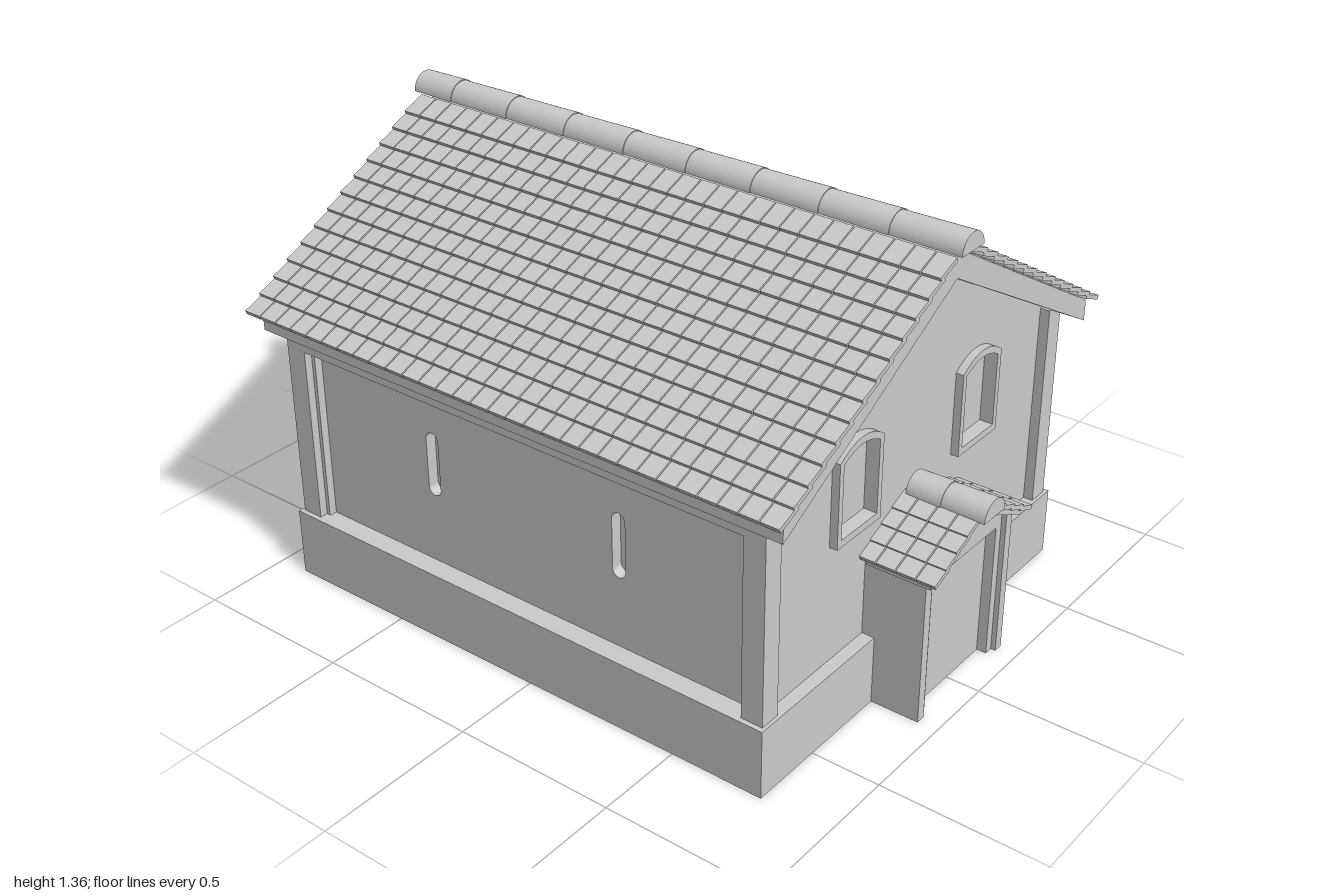
import * as THREE from 'three';
import { mergeGeometries } from 'three/addons/utils/BufferGeometryUtils.js';

const material = new THREE.MeshStandardMaterial({ color: 0xcccccc, side: THREE.DoubleSide });

function add(parent, name, geometry, x = 0, y = 0, z = 0) {
  const mesh = new THREE.Mesh(geometry, material);
  mesh.name = name;
  mesh.position.set(x, y, z);
  parent.add(mesh);
  return mesh;
}

// box given by its limits
function box(parent, name, x0, x1, y0, y1, z0, z1) {
  const g = new THREE.BoxGeometry(x1 - x0, y1 - y0, z1 - z0);
  return add(parent, name, g, (x0 + x1) / 2, (y0 + y1) / 2, (z0 + z1) / 2);
}

const polygon = (points) => new THREE.Shape(points.map(([x, y]) => new THREE.Vector2(x, y)));
const rect = (x0, x1, y0, y1) => polygon([[x0, y0], [x1, y0], [x1, y1], [x0, y1]]);
const extrude = (shape, depth) =>
  new THREE.ExtrudeGeometry(shape, { depth, bevelEnabled: false, curveSegments: 10 });

// window outline with a low arch
function archShape(cx, halfWidth, y0, ySide, yTop) {
  const s = new THREE.Shape();
  s.moveTo(cx - halfWidth, y0);
  s.lineTo(cx + halfWidth, y0);
  s.lineTo(cx + halfWidth, ySide);
  s.quadraticCurveTo(cx, 2 * yTop - ySide, cx - halfWidth, ySide);
  s.closePath();
  return s;
}

// upright slit with round ends
function slitShape(cx, cy, halfHeight, r) {
  const s = new THREE.Shape();
  s.absarc(cx, cy + halfHeight - r, r, 0, Math.PI);
  s.absarc(cx, cy - halfHeight + r, r, Math.PI, 2 * Math.PI);
  s.closePath();
  return s;
}

// chevron roof slab running from z0 to z1
function roofSlab(parent, name, halfWidth, eave, eaveTop, apex, apexTop, z0, z1) {
  const s = polygon([[-halfWidth, eave], [0, apex], [halfWidth, eave],
    [halfWidth, eaveTop], [0, apexTop], [-halfWidth, eaveTop]]);
  add(parent, name, extrude(s, z1 - z0), 0, 0, z0);
}

// overlapping flat tiles on both slopes
function roofTiles(parent, name, o) {
  const pitchZ = (o.z1 - o.z0) / o.columns;
  for (const side of [-1, 1]) {
    const tiles = [];
    for (let i = 0; i < o.rows; i++) {
      for (let j = 0; j < o.columns; j++) {
        const g = new THREE.BoxGeometry(o.length, 0.013, pitchZ - 0.004);
        g.translate(-o.length / 2, 0.0065, 0);
        g.rotateZ(-0.38);
        g.translate(o.x - i * o.stepX, o.y + i * o.stepY, o.z0 + (j + 0.5) * pitchZ);
        if (side < 0) g.rotateY(Math.PI).translate(0, 0, o.z0 + o.z1);
        tiles.push(g);
      }
    }
    add(parent, name + (side < 0 ? 'Right' : 'Left'), mergeGeometries(tiles));
  }
}

// half-round ridge tiles laid from front to back
function ridge(parent, name, y, zFront, zBack, pitch) {
  const group = new THREE.Group();
  group.name = name;
  parent.add(group);
  for (let z = zFront; z > zBack + 0.01; z -= pitch) {
    const length = Math.min(pitch, z - zBack);
    const s = new THREE.Shape();
    s.absarc(0, 0, 0.053, 0, Math.PI);
    s.closePath();
    const g = extrude(s, length + 0.004);
    // narrow the rear end so that it tucks under the next tile
    const p = g.attributes.position;
    for (let i = 0; i < p.count; i++) {
      if (p.getZ(i) < 0.001) p.setXY(i, p.getX(i) * 0.95, p.getY(i) * 0.95);
    }
    g.computeVertexNormals();
    add(group, 'ridgeTile', g, 0, y, z - length);
  }
}

// gable wall with two framed windows, facing +z
function endWall(name) {
  const group = new THREE.Group();
  group.name = name;
  const wall = polygon([[-0.69, 0.2], [0.69, 0.2], [0.69, 0.84], [0, 1.23], [-0.69, 0.84]]);
  for (const cx of [-0.294, 0.294]) {
    wall.holes.push(archShape(cx, 0.082, 0.597, 0.82, 0.845));
    const frame = archShape(cx, 0.1, 0.575, 0.83, 0.867);
    frame.holes.push(archShape(cx, 0.082, 0.597, 0.82, 0.845));
    add(group, 'windowFrame', extrude(frame, 0.024), 0, 0, 0.8075);
    box(group, 'windowPane', cx - 0.1, cx + 0.1, 0.58, 0.87, 0.76, 0.79);
  }
  add(group, 'gableWall', extrude(wall, 0.05), 0, 0, 0.7575);
  return group;
}

function createHouse() {
  const house = new THREE.Group();
  house.name = 'house';
  house.position.z = -0.0575;

  // hollow plinth and floor
  const plinth = rect(-0.73, 0.73, -0.8475, 0.8475);
  plinth.holes.push(rect(-0.69, 0.69, -0.8075, 0.8075));
  add(house, 'plinth', extrude(plinth, 0.212).rotateX(-Math.PI / 2));
  box(house, 'floor', -0.7, 0.7, 0.192, 0.21, -0.82, 0.82);

  // gable ends
  const front = endWall('frontWall');
  const back = endWall('backWall');
  back.rotation.y = Math.PI;
  house.add(front, back);

  // side walls, with two slits on the right one
  for (const side of [-1, 1]) {
    const wall = rect(-0.79, 0.79, 0.2, 0.83);
    if (side < 0) {
      for (const z of [-0.333, 0.333]) {
        wall.holes.push(slitShape(z, 0.53, 0.1, 0.022));
        box(house, 'slitBack', -0.63, -0.615, 0.4, 0.66, z - 0.06, z + 0.06);
      }
    }
    const mesh = add(house, 'sideWall', extrude(wall, 0.05), side * 0.615);
    mesh.rotation.y = side * Math.PI / 2;
    const x0 = side > 0 ? 0.65 : -0.715;
    box(house, 'wallBeam', x0, x0 + 0.065, 0.76, 0.83, -0.78, 0.78);
    for (const z0 of [-0.8375, 0.7695]) {
      box(house, 'cornerPost', x0, x0 + 0.065, 0, 0.845, z0, z0 + 0.068);
    }
  }

  // roof
  roofSlab(house, 'roofSlab', 0.738, 0.8, 0.865, 1.215, 1.295, -0.9025, 0.9025);
  roofTiles(house, 'roofTiles', {
    x: 0.775, y: 0.858, stepX: 0.0555, stepY: 0.0328, length: 0.08,
    rows: 13, columns: 30, z0: -0.9275, z1: 0.9225,
  });
  ridge(house, 'roofRidge', 1.303, 0.9375, -0.9425, 0.217);
  return house;
}

function createPorch() {
  const porch = new THREE.Group();
  porch.name = 'porch';

  // side walls, posts and door jambs
  for (const side of [-1, 1]) {
    const x0 = side > 0 ? 0.19 : -0.22;
    box(porch, 'porchPost', x0, x0 + 0.03, 0, 0.455, 0.9, 0.94);
    box(porch, 'porchSide', x0, x0 + 0.03, 0, 0.455, 0.7, 0.9);
    const j0 = side > 0 ? 0.163 : -0.193;
    box(porch, 'doorJamb', j0, j0 + 0.03, 0, 0.42, 0.69, 0.925);
  }

  // gable above the door, and the door
  const gable = polygon([[-0.195, 0.42], [0.195, 0.42], [0.195, 0.47], [0, 0.565], [-0.195, 0.47]]);
  add(porch, 'porchGable', extrude(gable, 0.15), 0, 0, 0.775);
  box(porch, 'door', -0.165, 0.165, 0, 0.422, 0.87, 0.895);

  // porch roof
  roofSlab(porch, 'porchSlab', 0.232, 0.443, 0.463, 0.555, 0.578, 0.76, 0.96);
  roofTiles(porch, 'porchTiles', {
    x: 0.246, y: 0.462, stepX: 0.05, stepY: 0.026, length: 0.07,
    rows: 4, columns: 4, z0: 0.738, z1: 0.985,
  });
  ridge(porch, 'porchRidge', 0.57, 1, 0.76, 0.135);
  return porch;
}

export function createModel() {
  const model = new THREE.Group();
  model.name = 'cottage';
  model.add(createHouse(), createPorch());
  return model;
}
